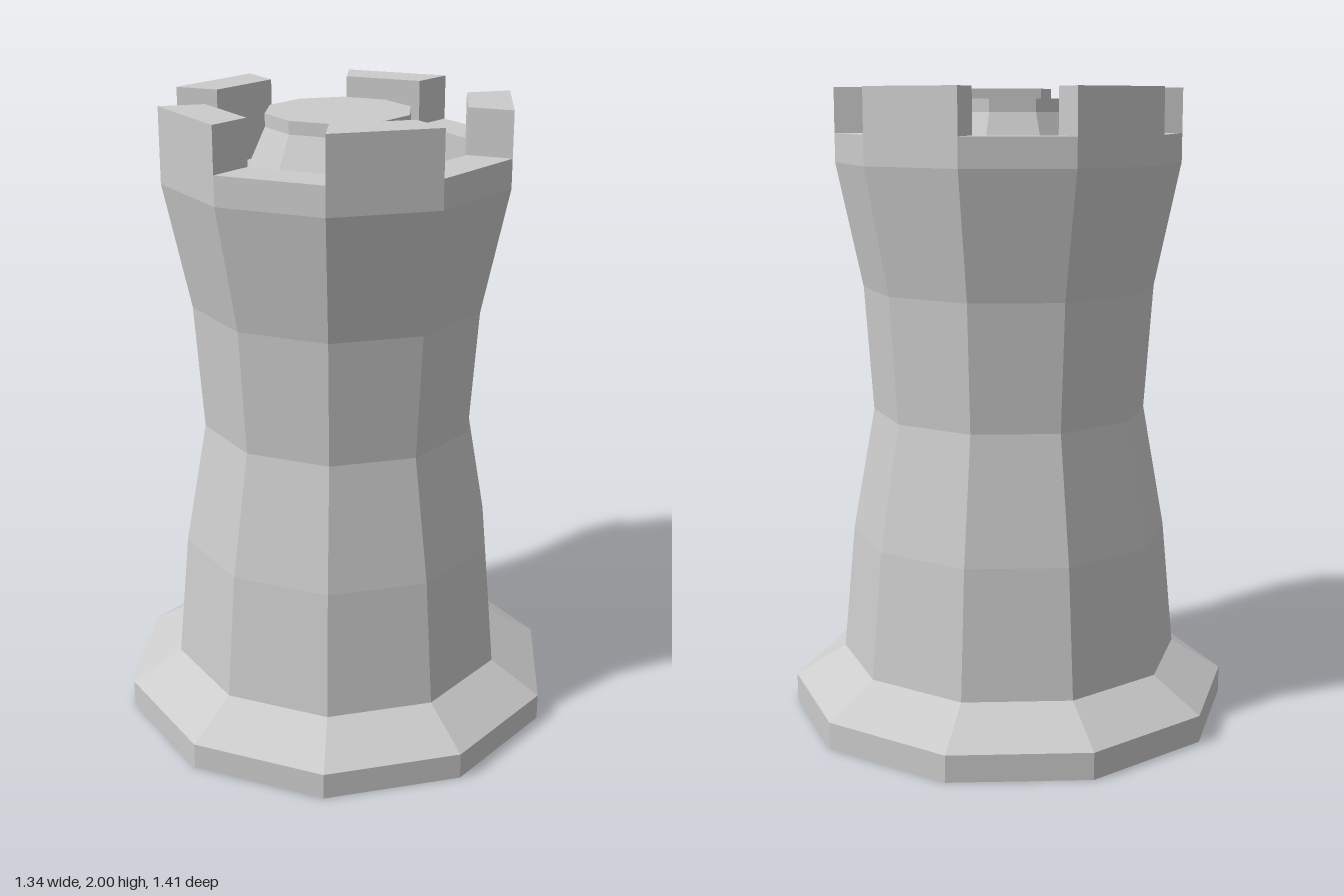
import * as THREE from 'three';

const SIDES = 10;
const STEP = (Math.PI * 2) / SIDES;
const OUTER = 0.545, INNER = 0.405, SILL = 1.86, TOP = 2;

const material = new THREE.MeshStandardMaterial({ color: 0xcccccc, flatShading: true });

// Ten-sided turned part from a [radius, height] profile
function turned(name, profile) {
  const points = profile.map(([r, y]) => new THREE.Vector2(r, y));
  const mesh = new THREE.Mesh(new THREE.LatheGeometry(points, SIDES), material);
  mesh.name = name;
  return mesh;
}

// One battlement block spanning a single side of the decagon
function battlement(index) {
  const a = index * STEP, b = a + STEP;
  const at = (r, t) => new THREE.Vector2(r * Math.sin(t), -r * Math.cos(t));
  const shape = new THREE.Shape([at(OUTER, a), at(OUTER, b), at(INNER, b), at(INNER, a)]);
  const geometry = new THREE.ExtrudeGeometry(shape, { depth: TOP - SILL, bevelEnabled: false });
  geometry.rotateX(-Math.PI / 2).translate(0, SILL, 0);
  const mesh = new THREE.Mesh(geometry, material);
  mesh.name = 'battlement';
  return mesh;
}

export function createModel() {
  const group = new THREE.Group();
  group.name = 'castleTower';

  // Foot with a sloped shoulder
  group.add(turned('base', [[0, 0], [0.707, 0], [0.707, 0.085], [OUTER, 0.185]]));

  // Waisted wall, sill and sunken floor
  group.add(turned('towerWall', [
    [OUTER, 0.185], [0.507, 0.59], [0.436, 0.985], [0.463, 1.38], [OUTER, 1.77],
    [OUTER, SILL], [INNER, SILL], [INNER, 1.76], [0.303, 1.76],
  ]));

  // Raised flat-topped cap inside the battlements
  group.add(turned('cap', [[0.303, 1.76], [0.227, 1.925], [0.227, 1.965], [0, 1.965]]));

  // Battlements on every other side
  const battlements = new THREE.Group();
  battlements.name = 'battlements';
  for (let i = 0; i < SIDES; i += 2) battlements.add(battlement(i));
  group.add(battlements);

  return group;
}
